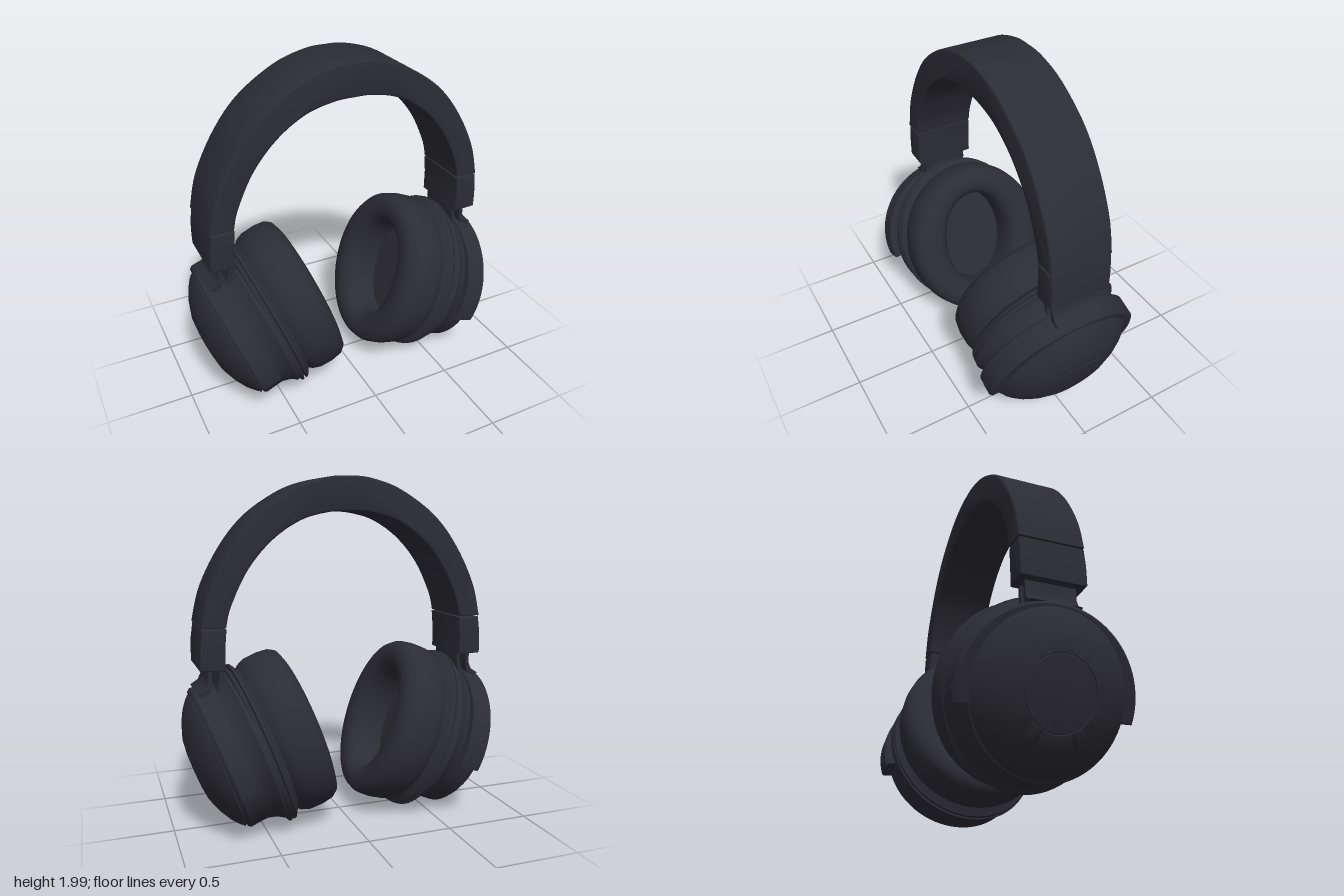
import * as THREE from 'three';
import { toCreasedNormals } from 'three/addons/utils/BufferGeometryUtils.js';

const charcoal = new THREE.MeshStandardMaterial({ color: 0x2c2c34 });
charcoal.name = 'charcoal';

function part(name, geometry, crease = 0.6) {
  const mesh = new THREE.Mesh(toCreasedNormals(geometry, crease), charcoal);
  mesh.name = name;
  return mesh;
}

// Sweeps rows of [distance along x, y radius, z radius] round the x axis;
// a partial arc gets flat end caps.
function sweep(rows, from = 0, to = Math.PI * 2, segments = 72) {
  const positions = [], index = [], n = segments + 1;
  for (const [x, ry, rz] of rows) {
    for (let j = 0; j < n; j++) {
      const a = from + (to - from) * j / segments;
      positions.push(x, ry * Math.cos(a), rz * Math.sin(a));
    }
  }
  for (let i = 0; i < rows.length - 1; i++) {
    for (let j = 0; j < segments; j++) {
      const p = i * n + j, q = p + n;
      if (rows[i][1] > 0) index.push(p, p + 1, q);
      if (rows[i + 1][1] > 0) index.push(p + 1, q + 1, q);
    }
  }
  if (to - from < 6.28) {
    for (let i = 1; i < rows.length - 1; i++) {
      index.push(0, i * n, (i + 1) * n);
      index.push(segments, (i + 1) * n + segments, i * n + segments);
    }
  }
  const g = new THREE.BufferGeometry();
  g.setAttribute('position', new THREE.Float32BufferAttribute(positions, 3));
  g.setIndex(index);
  return g;
}

// Extrudes a front outline symmetrically in z with softened edges.
function slab(shape, halfDepth, bevel) {
  const g = new THREE.ExtrudeGeometry(shape, {
    depth: 2 * (halfDepth - bevel), curveSegments: 60, bevelEnabled: true,
    bevelThickness: bevel, bevelSize: bevel, bevelOffset: -bevel, bevelSegments: 3,
  });
  return g.translate(0, 0, bevel - halfDepth);
}

const vectors = (points) => points.map(([x, y]) => new THREE.Vector2(x, y));
const oval = (rows, zScale) => rows.map(([x, r]) => [x, r, r * zScale]);

function headband() {
  const outer = [[0.835, 1.195], [0.785, 1.39], [0.67, 1.61], [0.52, 1.79], [0.31, 1.93], [0.13, 1.99]];
  const inner = [[0.7, 1.195], [0.67, 1.31], [0.575, 1.5], [0.44, 1.655], [0.28, 1.76], [0.125, 1.803]];
  const arch = (half, top) => [...half, [0, top], ...half.map(([x, y]) => [-x, y]).reverse()];
  const shape = new THREE.Shape();
  shape.moveTo(...outer[0]);
  shape.splineThru(vectors(arch(outer, 2).slice(1)));
  const back = arch(inner, 1.81).reverse();
  shape.lineTo(...back[0]);
  shape.splineThru(vectors(back.slice(1)));
  return part('headband', slab(shape, 0.185, 0.012));
}

function earCup() {
  const cup = new THREE.Group();
  cup.name = 'earCup';
  cup.position.set(0.225, 0.585, 0);
  cup.rotation.z = -THREE.MathUtils.degToRad(20);

  // cushion with an oval opening
  cup.add(part('earCushion', sweep([
    [0.2, 0, 0], [0.2, 0.31, 0.22], [0.12, 0.31, 0.22], [0.04, 0.315, 0.225],
    [0.005, 0.335, 0.25], [-0.015, 0.375, 0.295], [-0.015, 0.42, 0.35], [0, 0.462, 0.405],
    [0.035, 0.483, 0.435], [0.1, 0.49, 0.445], [0.18, 0.485, 0.44], [0.225, 0.465, 0.425],
    [0.25, 0.44, 0.4],
  ]), 0.9));

  // double ridge behind the cushion
  cup.add(part('trimRing', sweep(oval([
    [0.235, 0.44], [0.255, 0.465], [0.272, 0.492], [0.285, 0.495], [0.29, 0.475], [0.295, 0.475],
    [0.3, 0.495], [0.312, 0.495], [0.322, 0.475], [0.34, 0.44],
  ], 0.9))));

  // housing with a domed outer face and a round centre seam
  const housing = part('housing', sweep(oval([
    [0.3, 0.46], [0.335, 0.468], [0.37, 0.442], [0.42, 0.425], [0.5, 0.428], [0.525, 0.43],
    [0.54, 0.418], [0.543, 0.405], [0.548, 0.405], [0.552, 0.412], [0.575, 0.39], [0.61, 0.345],
    [0.645, 0.28], [0.677, 0.19], [0.673, 0.187], [0.673, 0.185], [0.679, 0.182],
    [0.688, 0.1], [0.69, 0],
  ], 0.97)));
  housing.position.y = 0.01;
  cup.add(housing);

  // yoke arching over the housing, with a screw at each end
  const reach = Math.PI / 2 + 0.2;
  cup.add(part('yoke', sweep([
    [0.415, 0.4, 0.4], [0.415, 0.44, 0.46], [0.425, 0.448, 0.472], [0.53, 0.448, 0.472],
    [0.545, 0.435, 0.455], [0.545, 0.4, 0.4],
  ], -reach, reach, 48)));
  for (const side of [-1, 1]) {
    const screw = part('yokeScrew', new THREE.CylinderGeometry(0.024, 0.024, 0.01, 20));
    screw.rotation.x = Math.PI / 2;
    screw.position.set(0.485, -0.03, side * 0.47);
    cup.add(screw);
  }
  return cup;
}

function earSide(name) {
  const side = new THREE.Group();
  side.name = name;
  side.add(earCup());

  // sleeve closing the end of the headband
  const sleeve = new THREE.Shape(vectors([
    [0.83, 1.187], [0.842, 1.1], [0.845, 1.05], [0.845, 0.965], [0.708, 0.96],
    [0.708, 1.08], [0.698, 1.187],
  ]));
  side.add(part('bandSleeve', slab(sleeve, 0.183, 0.01)));

  // two thin struts between sleeve and yoke
  const outer = [[0.778, 1], [0.8, 1], [0.798, 0.9], [0.815, 0.86], [0.86, 0.83], [0.8, 0.8], [0.776, 0.87]];
  const inner = [[0.72, 1], [0.744, 1], [0.735, 0.92], [0.752, 0.87], [0.752, 0.82], [0.728, 0.83], [0.714, 0.92]];
  side.add(part('outerStrut', slab(new THREE.Shape(vectors(outer)), 0.14, 0.003)));
  side.add(part('innerStrut', slab(new THREE.Shape(vectors(inner)), 0.14, 0.003)));
  return side;
}

export function createModel() {
  const model = new THREE.Group();
  model.name = 'headphones';
  model.add(headband());
  const left = earSide('leftSide');
  const right = earSide('rightSide');
  right.rotation.y = Math.PI;
  model.add(left, right);
  return model;
}
